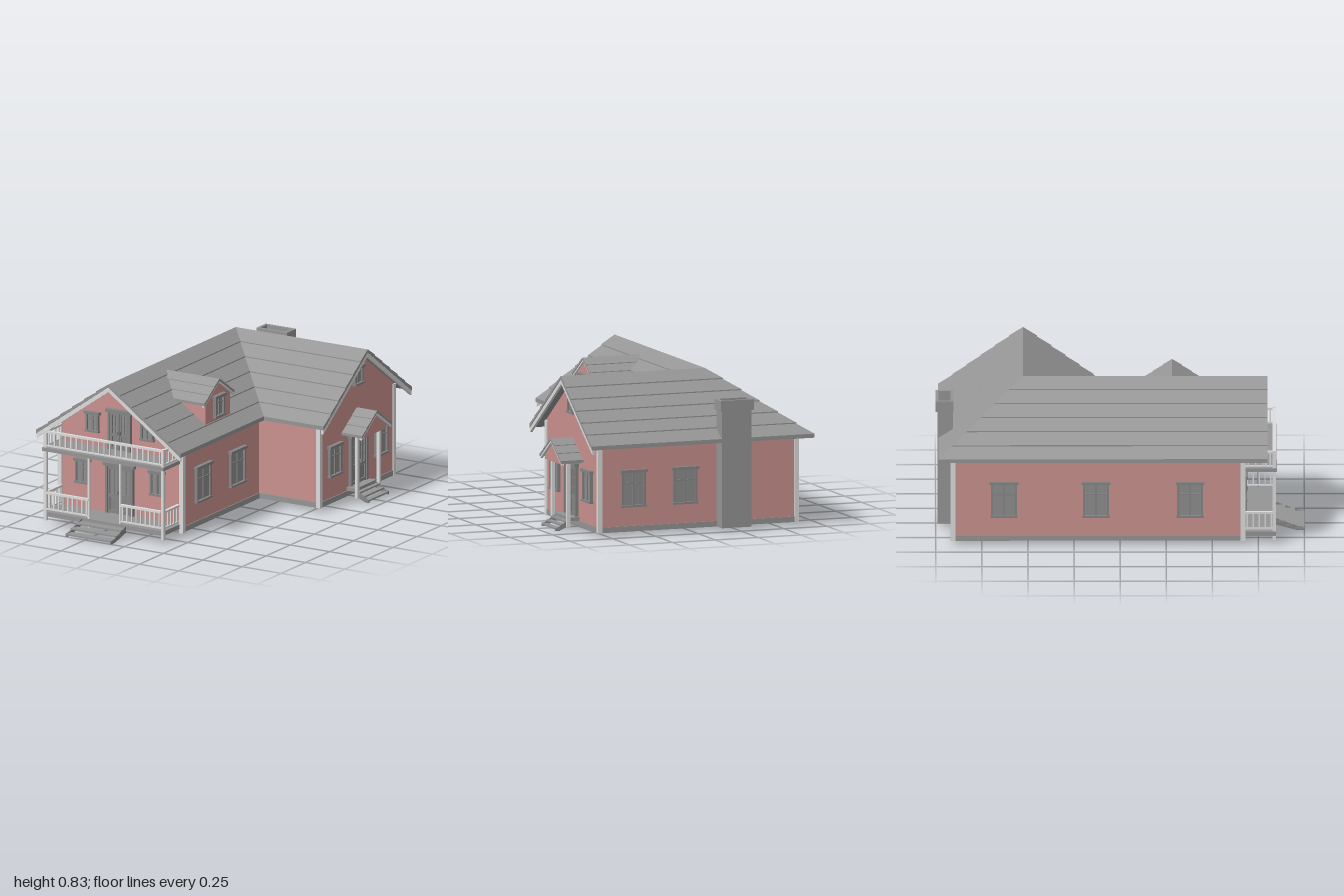
import * as THREE from 'three';

const mat = (name, color, side = THREE.FrontSide) => {
  const m = new THREE.MeshStandardMaterial({ color, side });
  m.name = name;
  return m;
};

export function createModel() {
  const house = new THREE.Group();
  house.name = 'house';
  const wall = mat('wall pink', 0xc9918e);
  const grey = mat('roof grey', 0x959595);
  const trim = mat('trim light grey', 0xdcdcdc);
  const frame = mat('frame grey', 0x868686);
  const glass = mat('glass grey', 0x8e8e8e);

  const add = (parent, name, geo, m, x = 0, y = 0, z = 0) => {
    const mesh = new THREE.Mesh(geo, m);
    mesh.name = name;
    mesh.position.set(x, y, z);
    parent.add(mesh);
    return mesh;
  };
  // box given by its minimum and maximum corners
  const box = (parent, name, m, x0, x1, y0, y1, z0, z1) =>
    add(parent, name, new THREE.BoxGeometry(x1 - x0, y1 - y0, z1 - z0), m,
      (x0 + x1) / 2, (y0 + y1) / 2, (z0 + z1) / 2);
  const group = (name, x = 0, y = 0, z = 0, turn = 0, parent = house) => {
    const g = new THREE.Group();
    g.name = name;
    g.position.set(x, y, z);
    g.rotation.y = turn;
    parent.add(g);
    return g;
  };
  const extrude = (pts, depth, steps = 1) => new THREE.ExtrudeGeometry(
    new THREE.Shape(pts.map(p => new THREE.Vector2(...p))), { depth, steps, bevelEnabled: false });
  const RIGHT = Math.PI / 2, BACK = Math.PI, LEFT = -Math.PI / 2;

  // five-sided gable prism, front face at local z = 0
  const gable = (parent, name, half, y0, eave, apex, depth) => add(parent, name,
    extrude([[-half, y0], [half, y0], [half, eave], [0, apex], [-half, eave]], depth), wall, 0, 0, -depth);

  // overlapping roof courses; place(u, t) gives the plan position along the sweep
  const roof = (parent, name, half, apex, slope, rows, thick, step, place) => {
    const side = [[0, apex]];
    for (let i = 1; i <= rows; i++) {
      const u = half * i / rows, y = apex - slope * u;
      side.push([u, y + step]);
      side.push([u, i < rows ? y : y - thick]);
    }
    const left = side.slice(1).reverse().map(([u, y]) => [-u, y]);
    const geo = extrude([...side, [0, apex - thick], ...left], 1, 2);
    const p = geo.attributes.position;
    for (let i = 0; i < p.count; i++) {
      const [x, z] = place(p.getX(i), p.getZ(i));
      p.setXYZ(i, x, p.getY(i), z);
    }
    geo.computeVertexNormals();
    return add(parent, name, geo, grey);
  };
  // sloping boards under a gable end
  const bargeBoard = (parent, half, apex, slope, thick, z) => {
    const e = apex - slope * half;
    add(parent, 'bargeBoard', extrude([[0, apex], [-half, e], [-half, e - thick],
      [0, apex - thick], [half, e - thick], [half, e]], 0.014), trim, 0, 0, z - 0.014);
  };

  // window: casing, glass, glazing bars and head, standing on local y = 0
  const windowAt = (x, y, z, w, h, turn = 0, parent = house) => {
    const g = group('window', x, y, z, turn, parent), b = 0.011, k = w / 2;
    box(g, 'pane', glass, -k + b, k - b, b, h - b, -0.004, 0.004);
    for (const s of [-1, 1]) add(g, 'jamb', new THREE.BoxGeometry(b, h, 0.022), frame, s * (k - b / 2), h / 2, 0.004);
    box(g, 'sill', frame, -k - 0.004, k + 0.004, 0, b, -0.005, 0.02);
    box(g, 'head', frame, -k - 0.008, k + 0.008, h - 0.016, h, -0.005, 0.022);
    box(g, 'mullion', frame, -0.005, 0.005, b, h - b, 0, 0.01);
    box(g, 'transom', frame, -k + b, k - b, h * 0.62, h * 0.62 + 0.007, 0, 0.009);
  };
  // double door with glazed upper part and solid lower panels
  const doorAt = (x, y, z, w, h, turn = 0) => {
    const g = group('doubleDoor', x, y, z, turn), k = w / 2, b = 0.013;
    box(g, 'doorGlass', glass, -k + b, k - b, 0, h - b, -0.004, 0.004);
    box(g, 'doorHead', frame, -k - 0.01, k + 0.01, h - 0.017, h, -0.005, 0.026);
    for (const s of [-1, 1]) {
      add(g, 'doorJamb', new THREE.BoxGeometry(b, h, 0.026), frame, s * (k - b / 2), h / 2, 0.004);
      const c = s * (k - b) / 2, lw = k - b - 0.003;
      for (const e of [-1, 1]) add(g, 'stile', new THREE.BoxGeometry(0.012, h - b, 0.012), frame, c + e * (lw / 2 - 0.006), (h - b) / 2, 0.006);
      for (const f of [0.04, 0.36, 0.9]) add(g, 'rail', new THREE.BoxGeometry(lw, 0.016, 0.012), frame, c, h * f, 0.006);
      for (const f of [0.54, 0.72]) add(g, 'glazingBar', new THREE.BoxGeometry(lw, 0.005, 0.008), frame, c, h * f, 0.005);
      add(g, 'glazingBar', new THREE.BoxGeometry(0.005, h * 0.54, 0.008), frame, c, h * 0.63, 0.005);
      add(g, 'lowerPanel', new THREE.BoxGeometry(lw - 0.03, h * 0.24, 0.009), frame, c, h * 0.2, 0.004);
      add(g, 'handle', new THREE.BoxGeometry(0.005, 0.02, 0.012), frame, s * 0.009, h * 0.42, 0.016);
    }
  };
  // balustrade of the given length along local x
  const railing = (x, y, z, len, h, n, turn = 0) => {
    const g = group('railing', x, y, z, turn);
    box(g, 'handrail', trim, -len / 2, len / 2, h - 0.012, h, -0.009, 0.009);
    box(g, 'bottomRail', trim, -len / 2, len / 2, 0.006, 0.014, -0.005, 0.005);
    for (let i = 0; i < n; i++)
      add(g, 'baluster', new THREE.BoxGeometry(0.008, h - 0.02, 0.006), trim, -len / 2 + len * (i + 0.5) / n, h / 2, 0);
  };
  // open treads on sloping side boards, descending toward local +z
  const steps = (x, z, w, d, turn) => {
    const g = group('steps', x, 0, z, turn), n = 3;
    for (let i = 0; i < n; i++)
      box(g, 'tread', grey, -w / 2, w / 2, 0.044 - i * 0.018, 0.053 - i * 0.018, d * i / n, d * (i + 1) / n);
    for (const s of [-1, 1])
      add(g, 'stringer', extrude([[0, 0.03], [0, 0.066], [d * 0.8, 0.02], [d, 0.018], [d, 0], [d * 0.75, 0]], 0.008),
        frame, s * (w / 2 - 0.004) + 0.004, 0, 0).rotation.y = -Math.PI / 2;
  };

  // L-shaped walls
  const rx = -0.225, rz = -0.525;
  gable(group('frontWing', rx, 0, 0.67), 'frontWingWalls', 0.385, 0.05, 0.54, 0.81, 1.195);
  gable(group('sideWing', 0.545, 0, rz, RIGHT), 'sideWingWalls', 0.385, 0.05, 0.54, 0.81, 0.77);
  box(house, 'cornerWalls', wall, -0.61, rx, 0.05, 0.54, -0.91, rz);

  // foundation
  const plan = [[-0.615, -0.675], [0.165, -0.675], [0.165, 0.135], [0.55, 0.135], [0.55, 0.915], [-0.615, 0.915]];
  add(house, 'foundation', extrude(plan, 0.03), grey, 0, 0.02, 0).rotation.x = -Math.PI / 2;

  // corner boards
  for (const [x, z] of [[-0.607, 0.667], [0.165, 0.667], [0.539, -0.143], [0.539, -0.907], [-0.607, -0.907]])
    box(house, 'cornerBoard', trim, x - 0.013, x + 0.013, 0.02, 0.535, z - 0.013, z + 0.013);

  // mitred main roof
  roof(house, 'mainRoof', 0.46, 0.832, 0.715, 6, 0.016, 0.006, (u, t) =>
    t > 0.75 ? [rx + u, 0.80] : t > 0.25 ? [rx + u, rz + u] : [0.615, rz + u]);
  bargeBoard(group('frontGableTrim', rx, 0, 0.797), 0.457, 0.817, 0.715, 0.028, 0);
  bargeBoard(group('sideGableTrim', 0.612, 0, rz, RIGHT), 0.457, 0.817, 0.715, 0.028, 0);

  // dormer
  const dormer = group('dormer', 0.155, 0, 0.283, RIGHT);
  gable(dormer, 'dormerWalls', 0.128, 0.545, 0.695, 0.782, 0.26);
  roof(dormer, 'dormerRoof', 0.157, 0.798, 0.68, 3, 0.011, 0.004, (u, t) => [u, -0.34 + 0.352 * t]);
  bargeBoard(dormer, 0.155, 0.788, 0.68, 0.012, 0.009);
  windowAt(0, 0.585, 0.002, 0.095, 0.125, 0, dormer);

  // chimney with an open cap
  const rect = (a, b) => [[-a, -b], [a, -b], [a, b], [-a, b]];
  box(house, 'chimneyStack', grey, -0.315, -0.143, 0.02, 0.665, -0.99, -0.905);
  const cap = new THREE.Shape(rect(0.097, 0.0485).map(p => new THREE.Vector2(...p)));
  cap.holes.push(new THREE.Path(rect(0.08, 0.032).map(p => new THREE.Vector2(...p))));
  add(house, 'chimneyCap', new THREE.ExtrudeGeometry(cap, { depth: 0.06, bevelEnabled: false }),
    grey, -0.229, 0.66, -0.9515).rotation.x = -Math.PI / 2;

  // front veranda and balcony
  box(house, 'verandaFloor', grey, -0.61, 0.155, 0.045, 0.07, 0.67, 0.845);
  box(house, 'balconyFloor', grey, -0.615, 0.158, 0.412, 0.432, 0.67, 0.85);
  for (const x of [-0.6, 0.147]) box(house, 'cornerPost', trim, x - 0.009, x + 0.009, 0.02, 0.53, 0.827, 0.845);
  for (const x of [-0.325, -0.125]) box(house, 'middlePost', trim, x - 0.006, x + 0.006, 0.02, 0.415, 0.83, 0.842);
  railing(-0.2265, 0.432, 0.837, 0.74, 0.095, 21);
  railing(-0.4575, 0.075, 0.837, 0.265, 0.107, 9);
  railing(0.006, 0.075, 0.837, 0.262, 0.107, 9);
  for (const x of [-0.6, 0.147]) {
    railing(x, 0.432, 0.755, 0.16, 0.095, 4, RIGHT);
    railing(x, 0.075, 0.755, 0.16, 0.107, 5, RIGHT);
  }
  steps(-0.228, 0.845, 0.29, 0.155, 0);

  // front doors and windows
  doorAt(-0.225, 0.07, 0.672, 0.175, 0.285);
  doorAt(-0.225, 0.432, 0.672, 0.145, 0.228);
  for (const s of [-1, 1]) {
    windowAt(rx + s * 0.238, 0.21, 0.672, 0.086, 0.14);
    windowAt(rx + s * 0.174, 0.51, 0.672, 0.08, 0.115);
  }

  // side entrance porch
  const porch = group('sidePorch', 0.545, 0, rz, RIGHT);
  gable(group('porchGable', 0, 0, 0.113, 0, porch), 'porchGableBoard', 0.12, 0.365, 0.387, 0.472, 0.113);
  roof(porch, 'porchRoof', 0.157, 0.495, 0.69, 3, 0.011, 0.004, (u, t) => [u, 0.13 * t]);
  bargeBoard(porch, 0.155, 0.485, 0.69, 0.014, 0.127);
  for (const s of [-1, 1]) box(porch, 'porchPost', trim, s * 0.113 - 0.009, s * 0.113 + 0.009, 0.02, 0.366, 0.062, 0.08);
  box(porch, 'landing', grey, -0.105, 0.105, 0.05, 0.07, 0, 0.06);
  steps(0.6, rz, 0.21, 0.085, RIGHT);
  doorAt(0.547, 0.07, rz, 0.175, 0.29, RIGHT);

  // remaining windows
  for (const z of [0.455, 0.1]) windowAt(0.162, 0.155, z, 0.15, 0.205, RIGHT);
  for (const z of [-0.285, -0.765]) windowAt(0.547, 0.17, z, 0.122, 0.178, RIGHT);
  windowAt(0.547, 0.625, rz, 0.085, 0.107, RIGHT);
  for (const x of [0.346, 0.045]) windowAt(x, 0.155, -0.912, 0.14, 0.205, BACK);
  for (const z of [-0.63, -0.13, 0.38]) windowAt(-0.612, 0.155, z, 0.14, 0.205, LEFT);

  return house;
}
